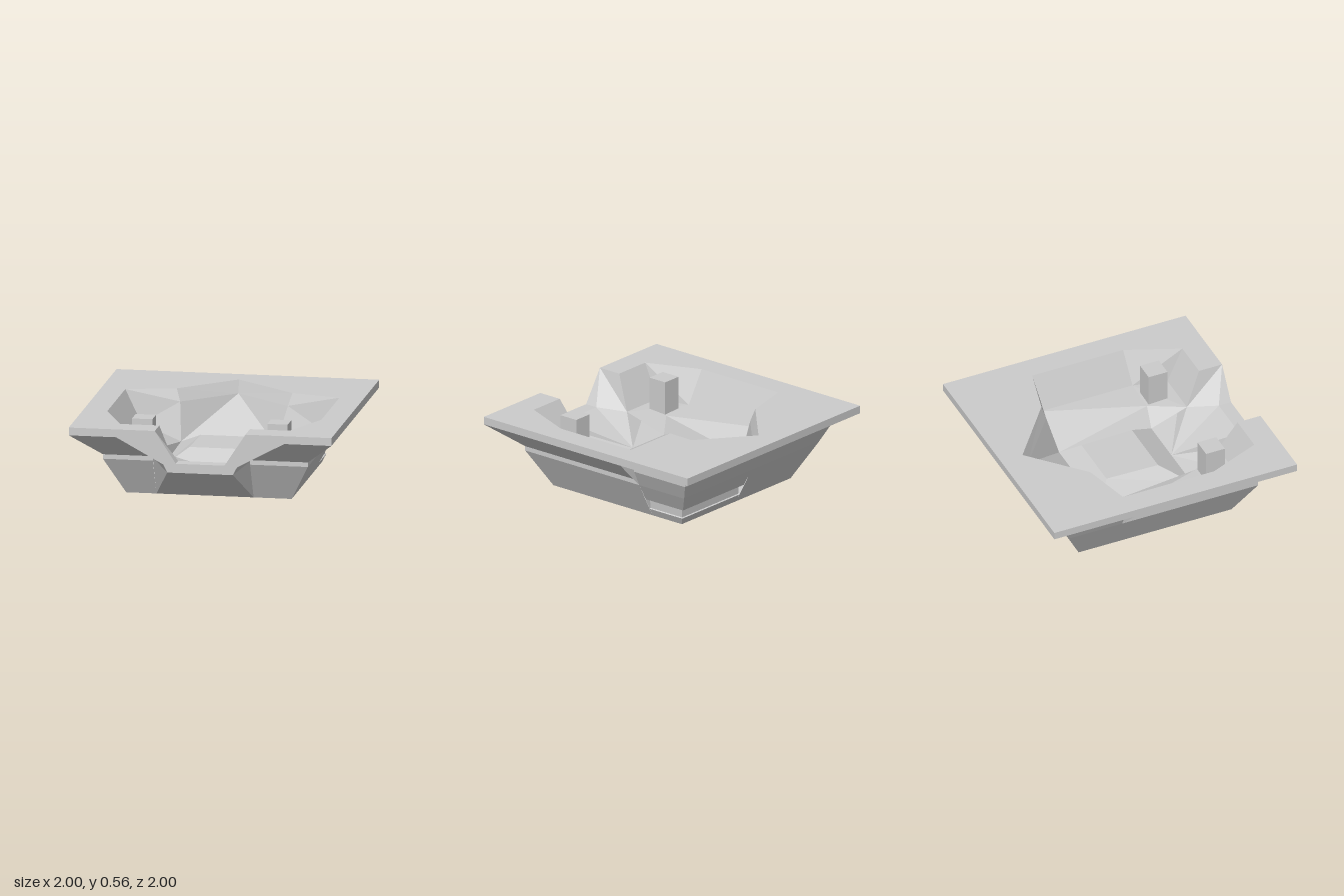
import * as THREE from 'three';

const material = new THREE.MeshStandardMaterial({ color: 0xcccccc, flatShading: true, side: THREE.DoubleSide });

function named(name, geo) {
  const mesh = new THREE.Mesh(geo, material);
  mesh.name = name;
  return mesh;
}

// Flat facets from polygons, each triangle turned towards the hint direction
function facets(name, polygons, hint) {
  const pos = [];
  const dir = new THREE.Vector3(...hint);
  for (const poly of polygons) {
    const p = poly.map((q) => new THREE.Vector3(...q));
    for (let i = 1; i < p.length - 1; i++) {
      const n = p[i].clone().sub(p[0]).cross(p[i + 1].clone().sub(p[0]));
      const tri = n.dot(dir) < 0 ? [p[0], p[i + 1], p[i]] : [p[0], p[i], p[i + 1]];
      for (const v of tri) pos.push(v.x, v.y, v.z);
    }
  }
  const geo = new THREE.BufferGeometry();
  geo.setAttribute('position', new THREE.Float32BufferAttribute(pos, 3));
  geo.computeVertexNormals();
  return named(name, geo);
}

export function createModel() {
  const group = new THREE.Group();
  const TOP = 0.565, SOFFIT = 0.505, SPLIT = -0.34, MID = -0.03;

  // Rim of the basin, one half from the front opening to the back
  const rim = [[0.345, 1], [0.345, 0.81], [0.645, 0.81], [0.815, 0.4], [0.815, -0.35], [0.44, -0.445]];
  const apex = [-0.035, -0.82];

  // Top slab, notched by the basin outline
  const outline = [
    [1, 1], ...rim, apex,
    ...rim.map(([x, z]) => [-x, z]).reverse(), [-1, 1], [-1, -1], [1, -1],
  ];
  const shape = new THREE.Shape(outline.map(([x, z]) => new THREE.Vector2(x, -z)));
  const slab = new THREE.ExtrudeGeometry(shape, { depth: TOP - SOFFIT, bevelEnabled: false });
  slab.rotateX(-Math.PI / 2).translate(0, SOFFIT, 0);
  group.add(named('topSlab', slab));

  // Points on the middle line of the basin floor
  const C = (y, z) => [MID, y, z];
  const backFoot = C(0.47, -0.77), backMid = C(0.18, -0.35), rampFoot = C(0.16, 0.41);

  for (const s of [1, -1]) {
    const side = s > 0 ? 'left' : 'right';
    const at = (x, y, z, shift = 0) => [s * x + shift, y, z];
    const R = rim.map(([x, z]) => at(x, TOP, z));

    // Foot of the basin walls
    const F = [
      at(0.185, 0.32, 1), at(0.185, 0.32, 0.9), at(0.28, 0.31, 0.68), at(0.63, 0.31, 0.68),
      at(0.69, 0.31, 0.42), at(0.69, 0.31, -0.34), at(0.41, 0.47, -0.42),
    ];
    // Low middle of the floor with a flat-topped mound
    const P1 = at(0.36, 0.16, 0.41, MID), P2 = at(0.36, 0.18, -0.35, MID);
    const M1 = at(0.235, 0.27, 0.21, 0.01), M2 = at(0.225, 0.27, -0.21, 0.01);
    // Inner edge of the raised side floor, and the ramp edge below it
    const G = at(0.43, 0.3, 0.42), E = at(0.37, 0.24, 0.63, MID);

    group.add(facets(side + 'BasinWall', [
      [R[0], R[1], F[2], F[1], F[0]],
      [R[1], R[2], F[3], F[2]],
      [R[2], R[3], F[4], F[3]],
      [R[3], R[4], F[5], F[4]],
      [R[4], R[5], F[6], F[5]],
      [R[5], [apex[0], TOP, apex[1]], backFoot, F[6]],
    ], [0, 1, 0]));

    group.add(facets(side + 'SideFloor', [
      [F[2], F[3], F[4], G],
      [G, F[4], F[5], P2],
      [P2, F[5], F[6]],
      [F[2], G, P1, E],
      [G, P2, P1],
    ], [0, 1, 0]));

    group.add(facets(side + 'EntranceRamp', [
      [rampFoot, P1, E, F[2], F[1], C(0.32, 0.9)],
      [F[0], F[1], C(0.32, 0.9), C(0.32, 1)],
    ], [0, 1, 0]));

    group.add(facets(side + 'Mound', [
      [P1, P2, M2, M1],
      [P1, M1, C(0.27, 0.21), rampFoot],
      [P2, M2, C(0.27, -0.21), backMid],
      [M1, M2, C(0.27, -0.21), C(0.27, 0.21)],
    ], [0, 1, 0]));

    group.add(facets(side + 'BackSlope', [[P2, backMid, backFoot, F[6]]], [0, 1, 0]));

    // Sloping underside beneath the slab and beside the entrance
    group.add(facets(side + 'Apron', [
      [at(1, SOFFIT, 1), at(0.64, SOFFIT, 1), at(0.28, 0.32, 0.78), at(0.78, 0.32, 0.78)],
      [at(1, SOFFIT, 1), at(0.78, 0.32, 0.78), at(0.78, 0.32, SPLIT), at(1, SOFFIT, SPLIT)],
      [at(0.64, SOFFIT, 1), at(0.28, 0.31, 1), at(0.28, 0.32, 0.78)],
      [at(0.185, 0.32, 1), at(0.28, 0.31, 1), at(0.64, SOFFIT, 1), at(0.345, TOP, 1)],
    ], [0, -1, 0.5]));

    // Wedge carrying the entrance ramp
    const keel = at(0.37, 0, 0.63, MID);
    group.add(facets(side + 'EntranceBlock', [
      [[0, 0.25, 1], at(0.25, 0.25, 1), keel, [0, 0, 0.63]],
      [at(0.25, 0.25, 1), at(0.28, 0.31, 1), at(0.37, 0.31, 0.78, MID), keel],
      [[0, 0.25, 1], at(0.25, 0.25, 1), at(0.28, 0.31, 1), at(0.185, 0.32, 1), [0, 0.32, 1]],
    ], [0, -1, 0.5]));

    // Square post on the floor
    const post = new THREE.BoxGeometry(0.155, 0.26, 0.155);
    post.translate(s * 0.515, 0.43, 0.515);
    group.add(named(side + 'Post', post));

    // Hull shell: a profile [radius, height] run along the side and round to x = inner at one end
    const shell = (name, profile, end, inner) => {
      const faces = [];
      for (let i = 0; i < profile.length - 1; i++) {
        const [r1, y1] = profile[i], [r2, y2] = profile[i + 1];
        faces.push([at(r1, y1, SPLIT), at(r1, y1, end * r1), at(r2, y2, end * r2), at(r2, y2, SPLIT)]);
        faces.push([at(r1, y1, end * r1), at(inner, y1, end * r1), at(inner, y2, end * r2), at(r2, y2, end * r2)]);
      }
      group.add(facets(name, faces, [s, 0, end]));
    };
    shell(side + 'FrontHull', [[0.78, 0.32], [0.78, 0.285], [0.63, 0]], 1, 0.37 + s * MID);

    // The back has an upper ledge, and on one half a recessed band
    const band = s > 0 ? [[0.705, 0.15], [0.655, 0.13], [0.65, 0.065], [0.66, 0.06]] : [];
    const ledgeProfile = [[1, SOFFIT], [0.84, 0.47], [0.84, 0.41], [0.78, 0.285]];
    shell(side + 'BackHull', [...ledgeProfile, ...band, [0.63, 0]], -1, 0);

    // Small faces closing the steps between front and back hull
    const steps = [[...ledgeProfile, [0.78, 0.32]]];
    if (s > 0) steps.push(band);
    group.add(facets(side + 'HullStep', steps.map((p) => p.map(([x, y]) => at(x, y, SPLIT))), [0, 0, -1]));
  }

  // Flat underside
  group.add(facets('base', [[[-0.63, 0, -0.63], [0.63, 0, -0.63], [0.63, 0, 0.63], [-0.63, 0, 0.63]]], [0, -1, 0]));
  return group;
}
